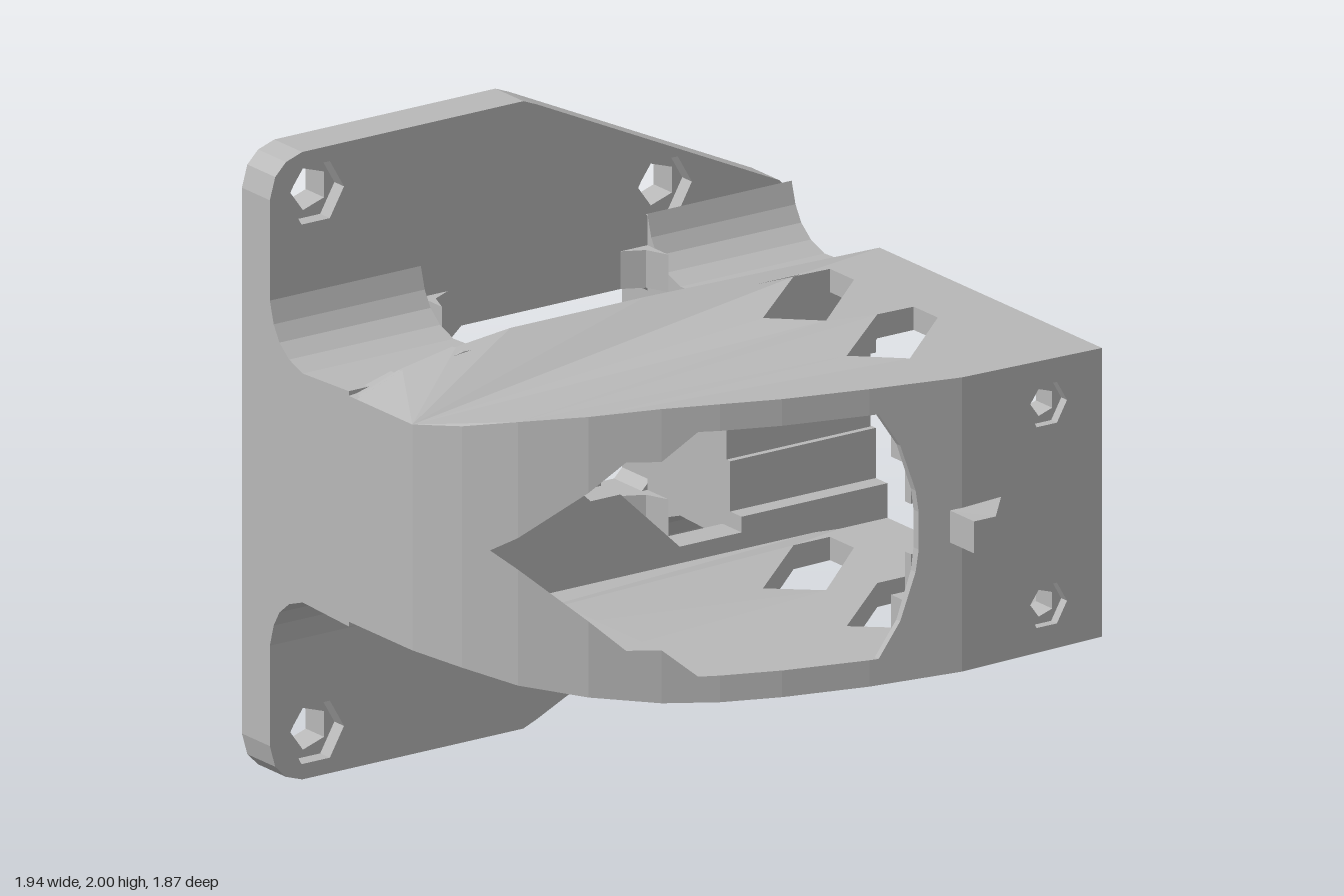
import * as THREE from 'three';

const grey = new THREE.MeshStandardMaterial({ color: 0xb8b8b8, flatShading: true, side: THREE.DoubleSide });
grey.name = 'grey plastic';

// piecewise linear function through points
const lerp = (pts) => (x) => {
  if (x <= pts[0][0]) return pts[0][1];
  for (let i = 1; i < pts.length; i++) {
    const [x0, y0] = pts[i - 1], [x1, y1] = pts[i];
    if (x <= x1) return y0 + (y1 - y0) * (x - x0) / (x1 - x0);
  }
  return pts[pts.length - 1][1];
};

const FRONT = [[-0.97, -0.05], [-0.9, 0.11], [-0.8, 0.26], [-0.645, 0.41], [-0.46, 0.53], [-0.3, 0.61],
  [-0.12, 0.68], [0.15, 0.755], [0.45, 0.815], [0.97, 0.815]];
const front = lerp(FRONT);                       // z of the curved front
const TOP = [[-0.97, 0.36], [-0.8, 0.42], [-0.6, 0.455], [-0.4, 0.475], [0.1, 0.475], [0.97, 0.46]];
const top = lerp(TOP);                           // half height of the body
const V = [[-0.85, 0], [-0.55, 0.3], [-0.46, 0.3], [-0.36, 0.39]];
const cavity = lerp(V);                          // half height of the cavity's pointed end
const inner = (x) => Math.min(0.39, top(x) - 0.02);

const toShape = (pts, holes = []) => {
  const s = new THREE.Shape(pts.map(([a, b]) => new THREE.Vector2(a, b)));
  s.holes = holes.map((h) => new THREE.Path(h.map(([a, b]) => new THREE.Vector2(a, b))));
  return s;
};
const extrude = (pts, holes, depth) =>
  new THREE.ExtrudeGeometry(toShape(pts, holes), { depth, bevelEnabled: false });
// outline in x,y between two z values
const slab = (pts, z0, z1, holes) => extrude(pts, holes, z1 - z0).translate(0, 0, z0);
// outline in x,z between two heights
const plan = (pts, y0, y1, holes = []) => {
  const f = (l) => l.map(([x, z]) => [x, -z]);
  return extrude(f(pts), holes.map(f), y1 - y0).rotateX(-Math.PI / 2).translate(0, y0, 0);
};
// outline in z,y between two x values
const side = (pts, x0, x1) =>
  extrude(pts.map(([z, y]) => [-z, y]), [], x1 - x0).rotateY(Math.PI / 2).translate(x0, 0, 0);

const move = (geo, rule) => {
  const p = geo.attributes.position, v = new THREE.Vector3();
  for (let i = 0; i < p.count; i++) {
    rule(v.fromBufferAttribute(p, i));
    p.setXYZ(i, v.x, v.y, v.z);
  }
  geo.computeVertexNormals();
  return geo;
};
const quads = (list) => {
  const pos = [];
  for (const [a, b, c, d] of list) pos.push(...a, ...b, ...c, ...a, ...c, ...d);
  const g = new THREE.BufferGeometry();
  g.setAttribute('position', new THREE.Float32BufferAttribute(pos, 3));
  g.computeVertexNormals();
  return g;
};
const ngon = (x, y, r, n) => Array.from({ length: n }, (_, i) => {
  const a = Math.PI + i / n * Math.PI * 2;
  return [x + r * Math.cos(a), y + r * Math.sin(a)];
});
// closes an upper half outline with its mirror image below
const mirrorY = (pts) => [...pts, ...pts.filter(([, y]) => y !== 0).reverse().map(([x, y]) => [x, -y])];

export function createModel() {
  const root = new THREE.Group();
  root.name = 'ductBracket';
  const body = new THREE.Group();
  body.position.y = 1;
  root.add(body);
  const add = (name, geo) => {
    const m = new THREE.Mesh(geo, grey);
    m.name = name;
    body.add(m);
  };

  // mounting plate with counterbored screw holes and a pointed window
  const outline = mirrorY([[0.97, 0.47], [0.955, 0.52], [0.92, 0.56], [0.02, 0.98], [-0.03, 1], [-0.85, 1],
    [-0.91, 0.98], [-0.95, 0.94], [-0.97, 0.87]]);
  const plateHole = mirrorY([[0.44, 0.3], [0.41, 0.33], [-0.26, 0.33], [-0.64, 0]]);
  const screws = [[-0.79, 0.86], [-0.79, -0.86], [0.5, 0.62], [0.5, -0.62]];
  add('plateBack', slab(outline, -0.935, -0.84, [plateHole, ...screws.map(([x, y]) => ngon(x, y, 0.07, 5))]));
  add('plateFront', slab(outline, -0.84, -0.79, [plateHole, ...screws.map(([x, y]) => ngon(x - 0.01, y, 0.105, 6))]));

  // neck blocks that flare into the plate
  const flare = [[-0.38, 0.375], [-0.62, 0.365], [-0.69, 0.39], [-0.74, 0.43], [-0.77, 0.48], [-0.79, 0.55]];
  add('neckRight', side(mirrorY(flare), 0.43, 0.965));
  add('neckLeft', side(mirrorY(flare), -0.97, -0.62));
  const notched = mirrorY([[-0.45, 0], [-0.79, 0.2], ...flare.slice().reverse()]);
  add('neckPocket', move(side(notched, -0.62, -0.41), (v) => {
    if (v.x < -0.6 && Math.abs(v.y) < 0.21 && v.z < -0.44) { v.y = 0; v.z = -0.79; }
  }));
  for (const s of [1, -1]) {
    const [y0, y1] = s > 0 ? [0.33, 0.45] : [-0.45, -0.33];
    add('windowCorner', plan([[-0.41, -0.79], [-0.31, -0.79], [-0.38, -0.755], [-0.41, -0.68]], y0, y1));
    add('windowCorner', plan([[0.43, -0.79], [0.33, -0.79], [0.4, -0.755], [0.43, -0.68]], y0, y1));
  }

  // stepped rear wall of the cavity
  const rear = (half, groove) => mirrorY([[-0.26, 0], [-0.13, 0.12], [-0.02, 0.12], [0.2, 0.33], [0.43, 0.33],
    [0.43, groove], [0.97, groove], ...TOP.slice().reverse().map(([x, y]) => [x, Math.min(half, y - 0.005)])]);
  add('rearWallInner', slab(rear(0.45, 0.28), -0.36, -0.3));
  add('rearWallOuter', slab(rear(0.4, 0.12), -0.4, -0.36));
  add('rearLedge', plan([[-0.41, -0.4], [-0.41, -0.44], [-0.02, -0.47], [-0.02, -0.4]], -0.13, 0.13));

  // roof and floor with two slanted slots
  const roofPlan = [...FRONT, [0.97, -0.34], [0.1, -0.34], [-0.4, -0.34], [-0.6, -0.34], [-0.8, -0.34], [-0.97, -0.34]];
  const slots = [0, 0.435].map((d) =>
    [[0.28, 0.02], [0.59, -0.255], [0.725, -0.255], [0.725, -0.13], [0.425, 0.145]].map(([x, z]) => [x, z + d]));
  const bend = (v) => {
    v.y = Math.sign(v.y) * (Math.abs(v.y) > 0.43 ? top(v.x) : inner(v.x));
  };
  add('roof', move(plan(roofPlan, 0.39, 0.475, slots), bend));
  add('floor', move(plan(roofPlan, -0.475, -0.39, slots), bend));

  // sloping step from roof and floor down to the neck
  const steps = [];
  for (const s of [1, -1]) {
    for (let i = 1; i < TOP.length; i++) {
      const [a, b] = [TOP[i - 1], TOP[i]];
      const low = (p) => [p[0], s * Math.min(0.375, p[1]), -0.41];
      const q = [[a[0], s * a[1], -0.34], low(a), low(b), [b[0], s * b[1], -0.34]];
      steps.push(s > 0 ? q : q.reverse());
    }
  }
  add('neckStep', quads(steps));

  // curved skin around the pointed end, its cavity faces and the closed left side
  const skin = [[[-0.97, 0.36, -0.05], [-0.97, 0.36, -0.4], [-0.97, -0.36, -0.4], [-0.97, -0.36, -0.05]]];
  const cols = [-0.97, -0.9, -0.85, -0.8, -0.645, -0.55, -0.46, -0.36];
  const tips = [];
  for (const s of [1, -1]) {
    for (let i = 1; i < cols.length; i++) {
      const [a, b] = [cols[i - 1], cols[i]];
      const za = front(a), zb = front(b), ha = s * cavity(a), hb = s * cavity(b);
      const q = [[a, ha, za], [b, hb, zb], [b, s * inner(b), zb], [a, s * inner(a), za]];
      skin.push(s > 0 ? q : q.reverse());
      if (a >= -0.85) {
        const t = [[a, ha, -0.3], [b, hb, -0.3], [b, hb, zb], [a, ha, za]];
        tips.push(s > 0 ? t : t.reverse());
      }
    }
  }
  add('curvedSkin', quads(skin));
  add('cavityTip', quads(tips));

  // front wall beside the opening
  const curveFront = (v) => {
    v.z = v.z > 0.79 ? front(v.x) : Math.min(0.76, front(v.x) - 0.02);
  };
  add('frontWallEdge', move(slab(mirrorY([[0.31, 0.06], [0.3, 0.13], [0.25, 0.28], [0.18, 0.39], [0.45, 0.39]]),
    0.76, 0.815), curveFront));
  const bolts = [0.32, -0.32];
  const face = mirrorY([[0.45, 0.39], [0.97, 0.39]]);
  add('frontWallInner', slab(face, 0.76, 0.785, bolts.map((y) => ngon(0.77, y, 0.045, 5))));
  add('frontWallOuter', slab(face, 0.785, 0.815, bolts.map((y) => ngon(0.765, y, 0.075, 6))));

  // rails inside the front wall
  for (const s of [1, -1]) {
    const rail = (x, a, b) => [[x, s * a], [0.97, s * a], [0.97, s * b], [x, s * b]];
    add('outerRail', slab(rail(0.27, 0.22, 0.39), 0.7, 0.76, [ngon(0.77, s * 0.32, 0.045, 5)]));
    add('innerRail', slab(rail(0.3, 0.08, 0.22), 0.73, 0.76));
  }

  // catch on the front
  add('catch', move(plan([[0.41, 0.81], [0.41, 0.935], [0.49, 0.935], [0.6, 0.81]], -0.06, 0.06), (v) => {
    if (v.x < 0.5) v.y *= 0.85;
  }));
  return root;
}
